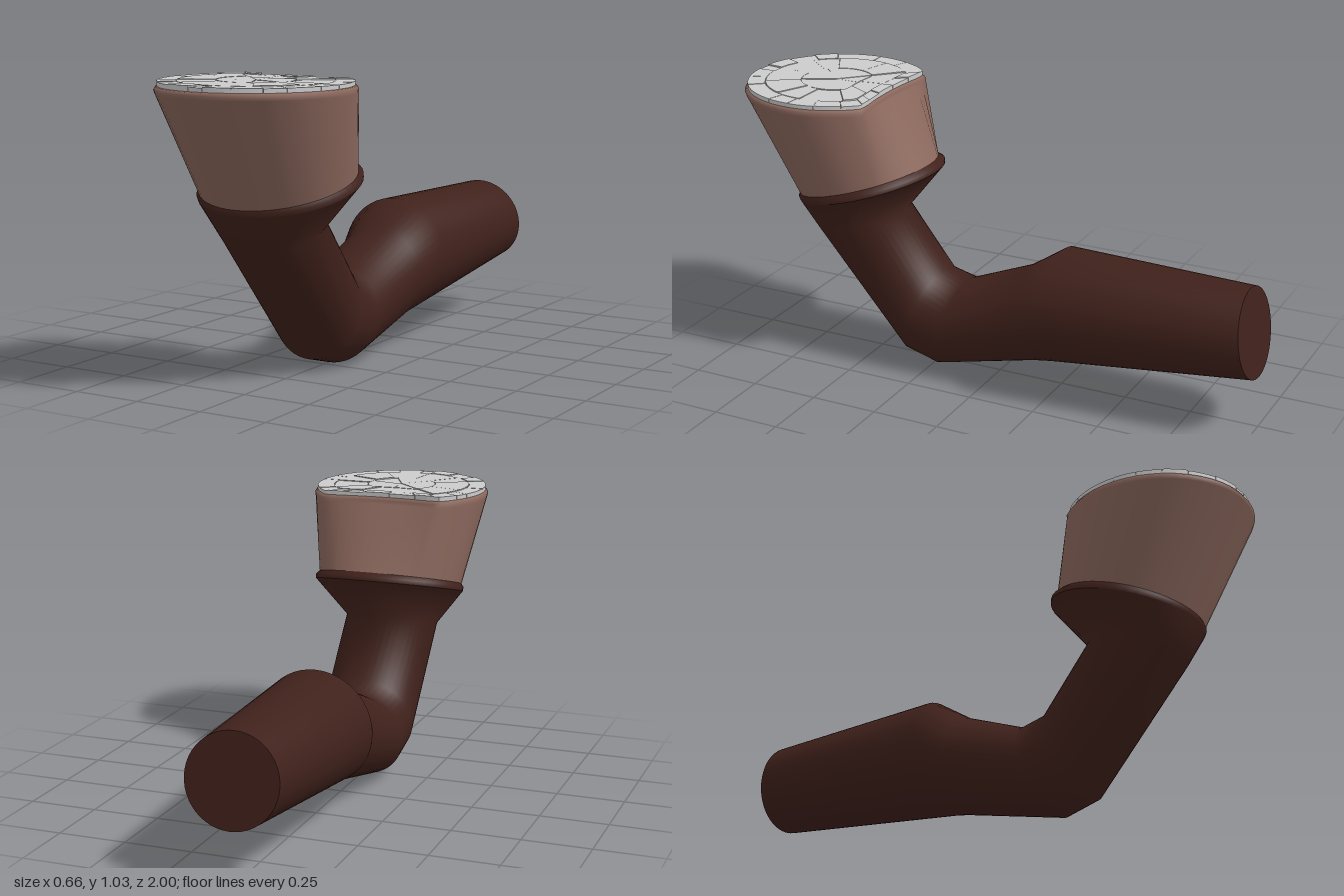
import * as THREE from 'three';

const SIDES = 48;
const material = (color) => new THREE.MeshStandardMaterial({ color, side: THREE.DoubleSide });

// Point on a round outline whose back (-z) edge can be flattened with a shallow dent
function outline(t, dented) {
  const s = Math.sin(t);
  let c = Math.cos(t);
  if (dented) c = Math.min(c, 0.67 + 0.04 * Math.min(1, (s / 0.55) ** 2));
  return [s, c];
}

// Skin through sections [backZ, backY, frontZ, frontY, halfWidth, dented]
function loft(sections, capStart = false, capEnd = false) {
  const positions = [], index = [];
  const addRing = ([z1, y1, z2, y2, w, dented]) => {
    const start = positions.length / 3;
    for (let i = 0; i < SIDES; i++) {
      const [s, c] = outline((i / SIDES) * Math.PI * 2, dented);
      positions.push(w * s, (y1 + y2) / 2 + c * (y1 - y2) / 2, (z1 + z2) / 2 + c * (z1 - z2) / 2);
    }
    return start;
  };
  const rings = sections.map(addRing);
  for (let k = 0; k < rings.length - 1; k++) {
    for (let i = 0; i < SIDES; i++) {
      const j = (i + 1) % SIDES;
      const a = rings[k] + i, b = rings[k] + j, c = rings[k + 1] + i, d = rings[k + 1] + j;
      index.push(a, c, b, b, c, d);
    }
  }
  // Caps use their own ring so their edge stays sharp
  const cap = (section, flip) => {
    const start = addRing(section);
    const [z1, y1, z2, y2] = section;
    positions.push(0, (y1 + y2) / 2, (z1 + z2) / 2);
    for (let i = 0; i < SIDES; i++) {
      const a = start + i, b = start + (i + 1) % SIDES;
      index.push(start + SIDES, flip ? b : a, flip ? a : b);
    }
  };
  if (capStart) cap(sections[0], false);
  if (capEnd) cap(sections[sections.length - 1], true);
  const g = new THREE.BufferGeometry();
  g.setAttribute('position', new THREE.Float32BufferAttribute(positions, 3));
  g.setIndex(index);
  g.computeVertexNormals();
  return g;
}

// One raised slab between two radii and two angles of the crust
function crustTile(r0, r1, a0, a1, height) {
  const p = (r, t) => {
    const [s, c] = outline(t, true);
    return new THREE.Vector2(0.322 * r * s, -0.663 + 0.325 * r * c);
  };
  const steps = 8, points = [];
  for (let i = 0; i <= steps; i++) points.push(p(r1, a0 + ((a1 - a0) * i) / steps));
  if (r0 < 0.01) points.push(p(0, a0));
  else for (let i = steps; i >= 0; i--) points.push(p(r0, a0 + ((a1 - a0) * i) / steps));
  const g = new THREE.ExtrudeGeometry(new THREE.Shape(points), { depth: height, bevelEnabled: false });
  return g.rotateX(-Math.PI / 2).translate(0, 1.024, 0);
}

export function createModel() {
  const model = new THREE.Group();
  const dark = material(0x40211b), brown = material(0x8a675c);
  const ember = material(0xd9824a), grey = material(0xcccccc);
  const add = (name, geometry, mat, parent = model) => {
    const mesh = new THREE.Mesh(geometry, mat);
    mesh.name = name;
    parent.add(mesh);
  };

  // Bent limb: thick tapering rear, elbow, rising neck and flare
  add('bentStem', loft([
    [-0.945, 0.52, -0.995, 0.2, 0.165],
    [-0.25, 0.535, -0.24, 0.115, 0.21],
    [-0.115, 0.445, -0.17, 0.1, 0.175],
    [0.13, 0.345, 0.22, 0.008, 0.175],
    [0.23, 0.37, 0.35, 0.045, 0.175],
    [0.39, 0.58, 0.73, 0.48, 0.175],
    [0.262, 0.742, 0.785, 0.602, 0.284],
  ], true), dark);

  // Collar around the foot of the bowl
  add('collar', loft([
    [0.262, 0.742, 0.785, 0.602, 0.284],
    [0.264, 0.758, 0.792, 0.615, 0.285],
    [0.3, 0.772, 0.785, 0.63, 0.272],
  ]), dark);

  // Leaning bowl that widens to a rim dented at the back
  add('bowl', loft([
    [0.288, 0.765, 0.783, 0.62, 0.274],
    [0.325, 1.0, 0.995, 1.0, 0.33, true],
    [0.324, 1.012, 1.0, 1.012, 0.332, true],
    [0.332, 1.022, 0.994, 1.022, 0.326, true],
    [0.345, 1.025, 0.982, 1.025, 0.315, true],
  ]), brown);

  // Glowing bed that shows through the cracks
  add('emberBed', loft([
    [0.34, 1.022, 0.985, 1.022, 0.318, true],
    [0.342, 1.027, 0.983, 1.027, 0.316, true],
  ], false, true), ember);

  // Cracked crust: staggered rings of slabs with uneven heights
  const crust = new THREE.Group();
  crust.name = 'crackedCrust';
  model.add(crust);
  let seed = 7;
  const random = () => (seed = (seed * 16807) % 2147483647) / 2147483647;
  const bands = [[0, 0.4, 5], [0.405, 0.8, 11], [0.805, 1, 22]];
  bands.forEach(([r0, r1, count], band) => {
    const step = (Math.PI * 2) / count, gap = 0.002 / r1;
    const cuts = Array.from({ length: count }, (_, i) => (i + 0.5 * random()) * step + band * 0.2);
    cuts.forEach((a, i) => {
      const end = i + 1 < count ? cuts[i + 1] : cuts[0] + Math.PI * 2;
      add('crustSlab', crustTile(r0, r1, a + gap, end - gap, 0.012 + 0.007 * random()), grey, crust);
    });
  });
  return model;
}
